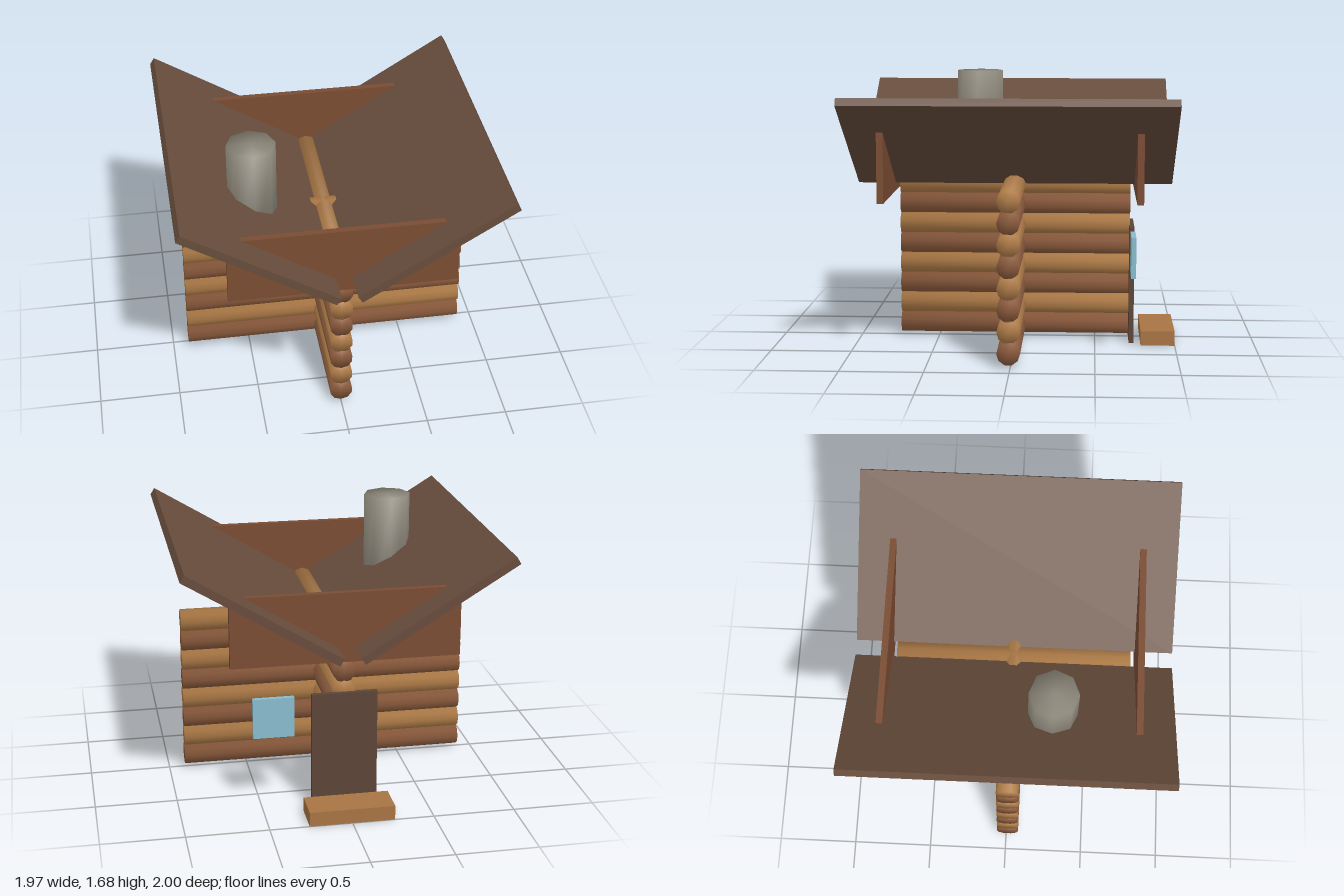
import * as THREE from 'three';

const mat = (name, color) => {
  const m = new THREE.MeshStandardMaterial({ color });
  m.name = name;
  return m;
};

export function createModel() {
  const group = new THREE.Group();
  const darkLog = mat('dark log', 0x8a5a3c);
  const lightLog = mat('light log', 0xae7b47);
  const roofWood = mat('roof wood', 0x674c3c);
  const gableWood = mat('gable wood', 0x7a4c33);
  const doorWood = mat('door wood', 0x5c4437);
  const stepWood = mat('step wood', 0xa87443);
  const glass = mat('window glass', 0x88bbcc);
  const stone = mat('chimney stone', 0x8a8578);
  const Z = 0.01; // centre line of the cabin

  const add = (name, geometry, material, x, y, z) => {
    const mesh = new THREE.Mesh(geometry, material);
    mesh.name = name;
    mesh.position.set(x, y, z);
    group.add(mesh);
    return mesh;
  };
  const box = (name, material, w, h, d, x, y, z) =>
    add(name, new THREE.BoxGeometry(w, h, d), material, x, y, z);

  // Cylinder whose rims are smoothed into the end caps
  const softCylinder = (r, length, sides) => {
    const g = new THREE.CylinderGeometry(r, r, length, sides);
    const p = g.attributes.position, n = g.attributes.normal;
    const v = new THREE.Vector3();
    for (let i = 0; i < p.count; i++) {
      v.set(p.getX(i) / r, 0.8 * Math.sign(p.getY(i)), p.getZ(i) / r).normalize();
      n.setXYZ(i, v.x, v.y, v.z);
    }
    return g;
  };

  // Crossed log walls, alternating in colour
  const longLog = softCylinder(0.07, 1.8, 10).rotateZ(-Math.PI / 2);
  const shortLog = softCylinder(0.07, 1.46, 10).rotateX(Math.PI / 2);
  for (let i = 0; i < 8; i++) {
    const material = i % 2 ? lightLog : darkLog;
    const y = 0.09 + i * 0.129;
    add('longWallLog', longLog, material, 0, y, Z);
    add('shortWallLog', shortLog, material, 0, y, Z);
  }

  // Roof slabs sloping down to the middle, and the gable boards
  for (const s of [-1, 1]) {
    const slab = box('roofSlab', roofWood, 1.066, 0.05, 1.98, s * 0.517, 1.297, Z);
    slab.rotation.z = s * 0.55;
    box('gableBoard', gableWood, 1.38, 0.43, 0.04, 0, 1.163, Z + s * 0.775);
  }

  // Door, step and window at the back
  box('door', doorWood, 0.4, 0.735, 0.03, 0, 0.3675, -0.729);
  box('doorStep', stepWood, 0.52, 0.09, 0.213, 0, 0.045, -0.8935);
  box('window', glass, 0.25, 0.25, 0.03, 0.43, 0.605, -0.731);

  // Chimney
  add('chimney', softCylinder(0.149, 0.735, 8), stone, -0.473, 1.3125, 0.265);

  return group;
}
